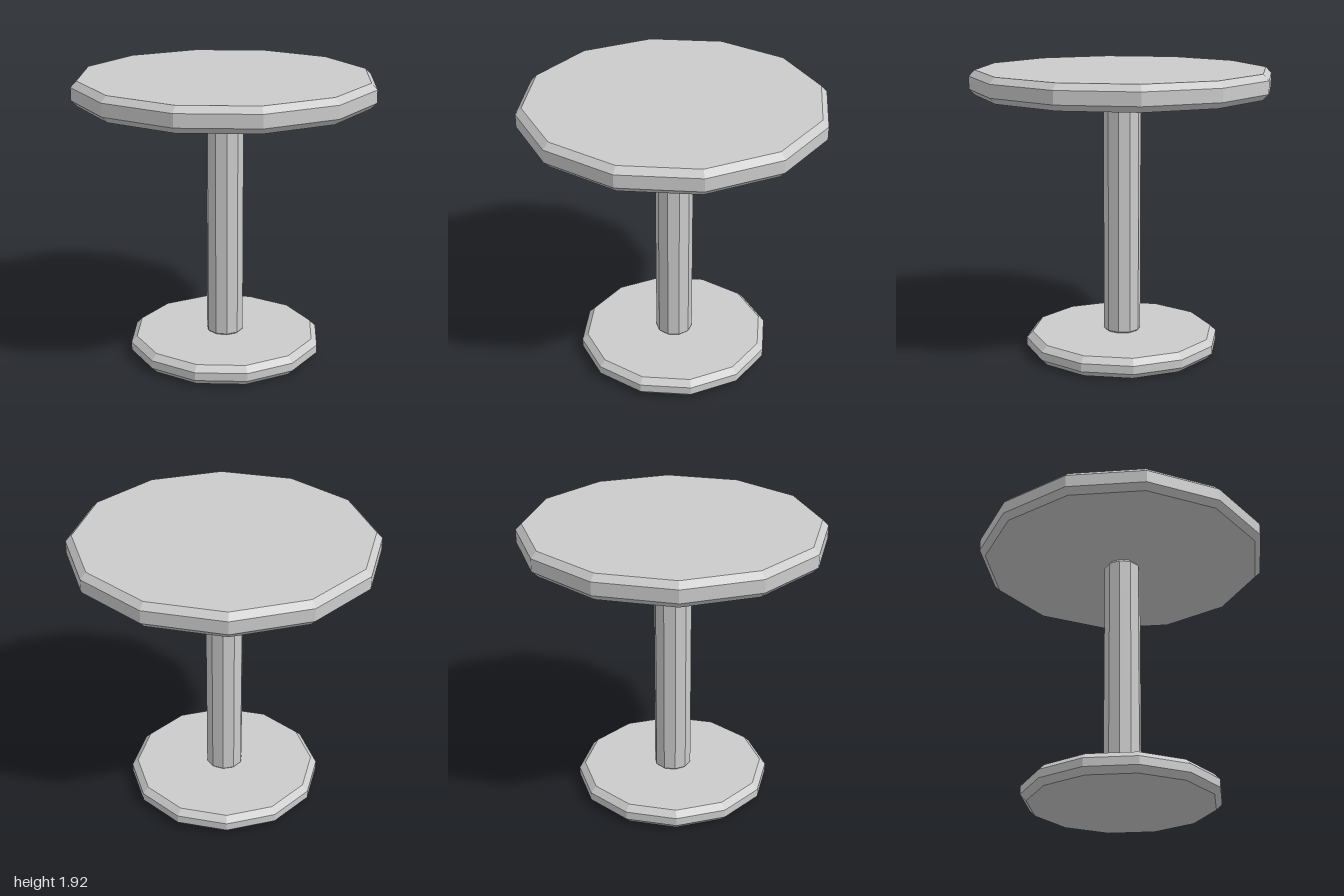
import * as THREE from 'three';

const material = new THREE.MeshStandardMaterial({ color: 0xcccccc, flatShading: true });

// Faceted disc or post with chamfered rims, standing from y0 to y1
function chamferedPrism(name, radius, y0, y1, chamfer, sides) {
  const profile = [
    [0, y0],
    [radius - chamfer, y0],
    [radius, y0 + chamfer],
    [radius, y1 - chamfer],
    [radius - chamfer, y1],
    [0, y1],
  ].map(([r, y]) => new THREE.Vector2(r, y));
  // A corner points along +x
  const geometry = new THREE.LatheGeometry(profile, sides, Math.PI / 2);
  const mesh = new THREE.Mesh(geometry, material);
  mesh.name = name;
  return mesh;
}

export function createModel() {
  const table = new THREE.Group();
  table.name = 'pedestalTable';
  table.add(
    chamferedPrism('base', 0.655, 0, 0.135, 0.04, 12),
    // The post's ends sink slightly into the base and the top
    chamferedPrism('post', 0.125, 0.105, 1.77, 0.04, 10),
    chamferedPrism('tableTop', 1, 1.755, 1.92, 0.04, 12),
  );
  return table;
}
